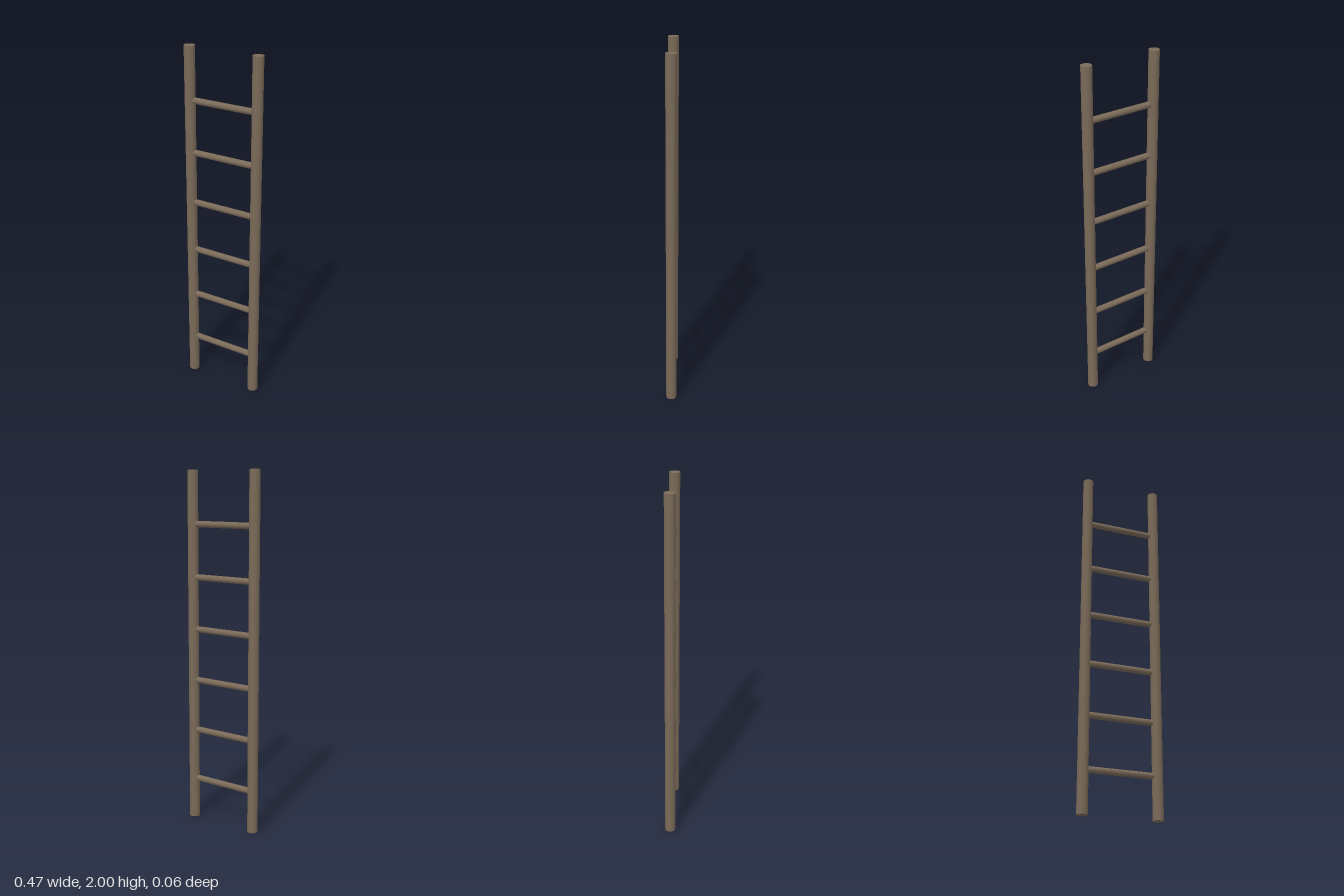
import * as THREE from 'three';

export function createModel() {
  const group = new THREE.Group();
  group.name = 'ladder';
  const wood = new THREE.MeshStandardMaterial({ color: 0x7a6a58 });
  wood.name = 'weathered wood';

  const railX = 0.206;

  // Two upright side rails
  const railGeometry = new THREE.CylinderGeometry(0.0294, 0.0294, 2, 24);
  for (const side of [-1, 1]) {
    const rail = new THREE.Mesh(railGeometry, wood);
    rail.name = side > 0 ? 'leftRail' : 'rightRail';
    rail.position.set(side * railX, 1, 0);
    group.add(rail);
  }

  // Six evenly spaced round rungs, let into the rails
  const rungGeometry = new THREE.CylinderGeometry(0.0177, 0.0177, railX * 2, 16);
  rungGeometry.rotateZ(Math.PI / 2);
  for (let i = 0; i < 6; i++) {
    const rung = new THREE.Mesh(rungGeometry, wood);
    rung.name = `rung${i + 1}`;
    rung.position.y = 0.2353 + i * 0.2941;
    group.add(rung);
  }
  return group;
}
